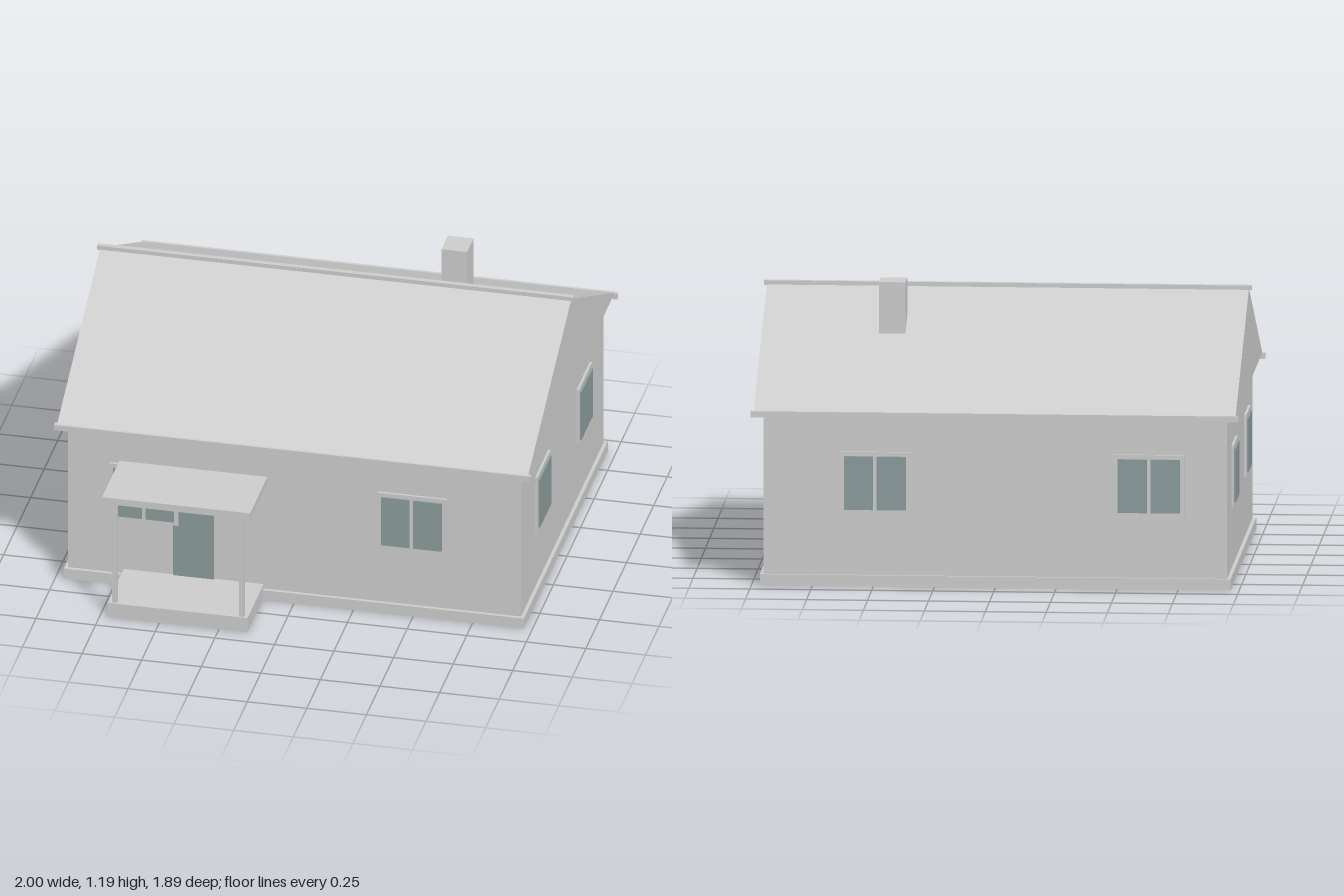
import * as THREE from 'three';

export function createModel() {
  const house = new THREE.Group();
  house.name = 'house';

  const plaster = new THREE.MeshStandardMaterial({ color: 0xcccccc });
  plaster.name = 'light grey plaster';
  const glass = new THREE.MeshStandardMaterial({ color: 0x8a9a9b });
  glass.name = 'blue grey glass';

  // Box given by its lower and upper bounds on each axis
  function box(name, [x0, x1], [y0, y1], [z0, z1], material = plaster, parent = house) {
    const mesh = new THREE.Mesh(new THREE.BoxGeometry(x1 - x0, y1 - y0, z1 - z0), material);
    mesh.position.set((x0 + x1) / 2, (y0 + y1) / 2, (z0 + z1) / 2);
    mesh.name = name;
    parent.add(mesh);
    return mesh;
  }

  const wallX = 0.95, wallFront = 0.627, wallBack = -0.898;
  const eaveY = 0.728, ridgeY = 1.127, ridgeZ = -0.136;
  const eaveFront = 0.662, eaveBack = -0.934;

  // Plinth and walls
  box('plinth', [-0.965, 0.965], [0, 0.047], [-0.91, 0.642]);
  box('walls', [-wallX, wallX], [0.047, eaveY], [wallBack, wallFront]);

  // Gabled roof: triangular section swept along x
  const section = new THREE.Shape([
    new THREE.Vector2(-eaveFront, eaveY),
    new THREE.Vector2(-eaveBack, eaveY),
    new THREE.Vector2(-ridgeZ, ridgeY),
  ]);
  const roofGeometry = new THREE.ExtrudeGeometry(section, { depth: 1.976, bevelEnabled: false });
  roofGeometry.translate(0, 0, -0.988).rotateY(Math.PI / 2);
  const roof = new THREE.Mesh(roofGeometry, plaster);
  roof.name = 'roof';
  house.add(roof);

  // Ridge cap, gutters and chimney
  box('ridgeCap', [-1, 1], [1.12, 1.139], [ridgeZ - 0.011, ridgeZ + 0.011]);
  box('frontGutter', [-1, 1], [0.703, 0.728], [0.651, 0.672]);
  box('backGutter', [-1, 1], [0.703, 0.728], [-0.946, -0.925]);
  box('chimney', [0.4, 0.508], [0.95, 1.186], [-0.443, -0.323]);

  // Window facing +z: a frame with equal panes set on its face
  function addWindow(name, width, panes, x, z, turn) {
    const window = new THREE.Group();
    window.name = name;
    const w = width / 2, gap = 0.016, inner = width - 0.036;
    const paneWidth = (inner - gap * (panes - 1)) / panes;
    box('frame', [-w, w], [0.3, 0.558], [-0.005, 0.01], plaster, window);
    for (let i = 0; i < panes; i++) {
      const left = -inner / 2 + i * (paneWidth + gap);
      box('pane', [left, left + paneWidth], [0.318, 0.54], [0.01, 0.0175], glass, window);
    }
    window.position.set(x, 0, z);
    window.rotation.y = turn;
    house.add(window);
  }

  for (const x of [-0.63, 0.493]) {
    addWindow('frontWindow', 0.29, 2, x, wallFront, 0);
    addWindow('backWindow', 0.29, 2, x, wallBack, Math.PI);
  }
  for (const z of [0.247, -0.518]) {
    for (const side of [-1, 1]) {
      addWindow('sideWindow', 0.247, 1, side * wallX, z, side * Math.PI / 2);
    }
  }

  // Door and porch
  box('door', [-0.508, -0.337], [0.067, 0.407], [wallFront - 0.002, 0.634], glass);
  box('porchSlab', [-0.717, -0.13], [0, 0.067], [0.6, 0.924]);
  box('porchRoof', [-0.735, -0.114], [0.539, 0.569], [wallFront, 0.946]);
  for (const x of [-0.69, -0.157]) {
    box('porchPost', [x - 0.011, x + 0.011], [0.067, 0.539], [0.895, 0.917]);
  }

  return house;
}
